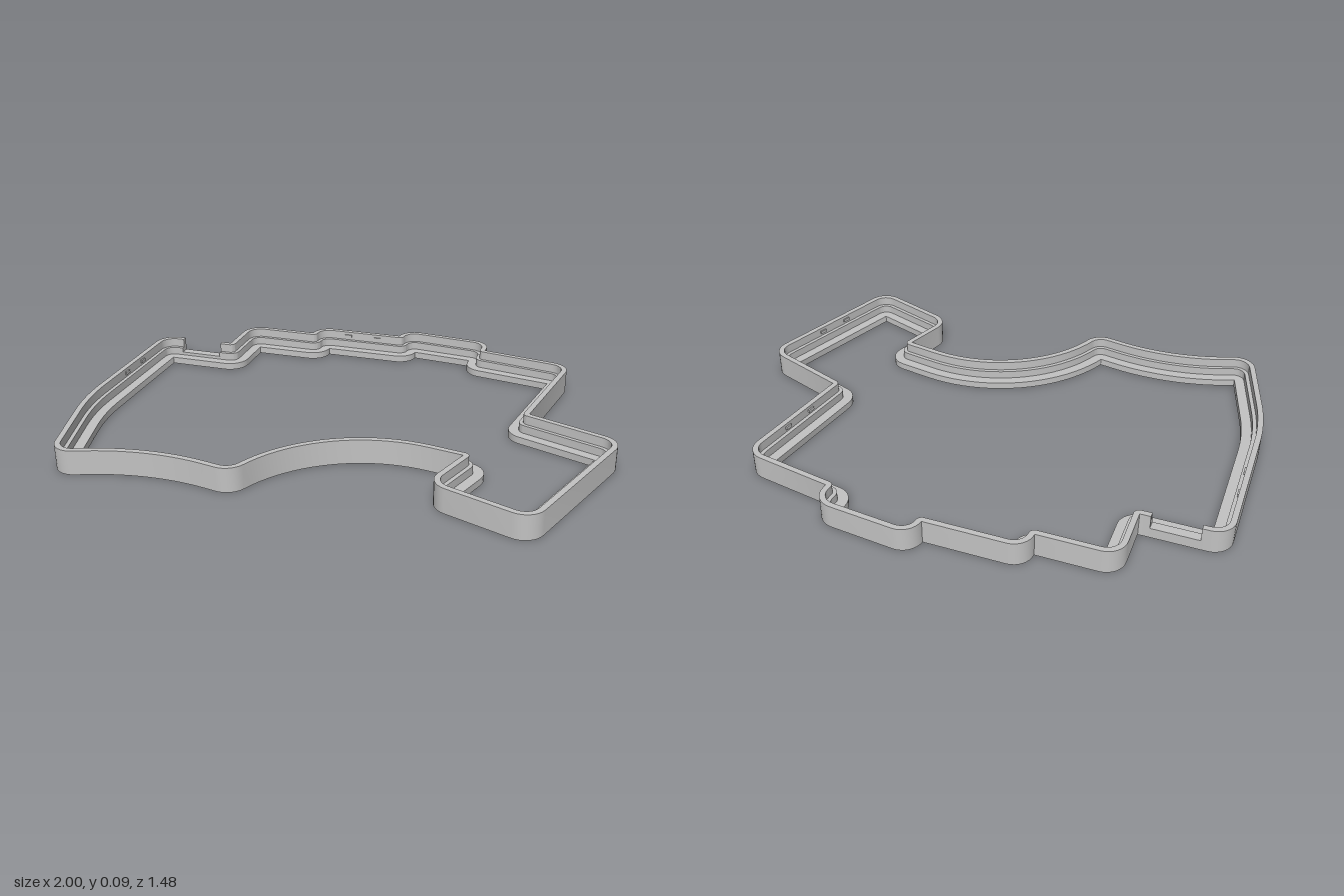
import * as THREE from 'three';
import { toCreasedNormals } from 'three/addons/utils/BufferGeometryUtils.js';

const HEIGHT = 0.093;
const NOTCH_FLOOR = 0.04;
const NOTCH = [-0.895, -0.72];

// Centre line of the frame, clockwise from above: [x, z, corner radius]
const R = 0.038, S = 0.0365;
const corners = [
  [-0.96, -0.34, R], [-0.643, -0.34, R], [-0.643, -0.564, R], [-0.343, -0.564, S],
  [-0.343, -0.638, S], [0.03, -0.638, S], [0.038, -0.709, S], [0.359, -0.676, R],
  [0.349, -0.585, R], [0.719, -0.52, R], [0.626, -0.008, R], [0.977, 0.12, R],
  [0.774, 0.679, R], [0.469, 0.568, R], [0.551, 0.338, R], [-0.059, 0.229, 0.555],
  [-0.24, 0.667, R], [-0.564, 0.605, 0.85], [-0.849, 0.715, R], [-0.96, 0.302, 0.9],
];

// Stepped cross-section: [offset outward, height]
const profile = [
  [0.0375, 0], [0.0375, HEIGHT], [0.016, HEIGHT], [0.016, 0.058],
  [0.001, 0.058], [0.001, 0.027], [-0.0375, 0.027], [-0.0375, 0],
];

const at = (i) => corners[(i + corners.length) % corners.length];

function direction(i) {
  const a = at(i), b = at(i + 1);
  return new THREE.Vector2(b[0] - a[0], b[1] - a[1]).normalize();
}

// Stations along the rounded centre line, each with its outward normal
function makeStations() {
  const stations = [];
  corners.forEach(([x, z, r], i) => {
    const d1 = direction(i - 1), d2 = direction(i);
    const turn = Math.atan2(d1.x * d2.y - d1.y * d2.x, d1.dot(d2));
    const side = Math.sign(turn);
    const back = r * Math.tan(Math.abs(turn) / 2);
    const n1 = new THREE.Vector2(d1.y, -d1.x);
    const cx = x - d1.x * back - side * n1.x * r;
    const cz = z - d1.y * back - side * n1.y * r;
    const start = Math.atan2(n1.y, n1.x);
    const steps = r > 0.5 ? 20 : 8;
    for (let k = 0; k <= steps; k++) {
      const a = start + turn * k / steps;
      const nx = Math.cos(a), nz = Math.sin(a);
      stations.push({ x: cx + side * r * nx, z: cz + side * r * nz, nx, nz, top: HEIGHT });
    }
    // Port notch in the first straight run
    if (i === 0) {
      const tops = [HEIGHT, NOTCH_FLOOR, NOTCH_FLOOR, HEIGHT];
      tops.forEach((top, k) => stations.push({ x: NOTCH[k >> 1], z, nx: 0, nz: -1, top }));
    }
  });
  return stations;
}

// Sweep the cross-section round the closed centre line
function frameGeometry() {
  const stations = makeStations();
  const positions = [];
  const point = (s, [u, y]) => [s.x + s.nx * u, Math.min(y, s.top), s.z + s.nz * u];
  stations.forEach((s, i) => {
    const t = stations[(i + 1) % stations.length];
    profile.forEach((p, j) => {
      const q = profile[(j + 1) % profile.length];
      const a = point(s, p), b = point(t, p), c = point(t, q), d = point(s, q);
      positions.push(...a, ...d, ...c, ...a, ...c, ...b);
    });
  });
  const geometry = new THREE.BufferGeometry();
  geometry.setAttribute('position', new THREE.Float32BufferAttribute(positions, 3));
  return toCreasedNormals(geometry, Math.PI / 6);
}

export function createModel() {
  const model = new THREE.Group();
  model.name = 'steppedFrame';
  const grey = new THREE.MeshStandardMaterial({ color: 0xc2c2c2 });
  grey.name = 'light grey plastic';

  const frame = new THREE.Mesh(frameGeometry(), grey);
  frame.name = 'frame';
  model.add(frame);

  // Pairs of snap nubs on the inside of the rim: [edge, position along it]
  const nub = new THREE.BoxGeometry(0.03, 0.012, 0.01);
  [[4, 0.477], [9, 0.484], [11, 0.5], [19, 0.56]].forEach(([i, t]) => {
    const a = at(i), b = at(i + 1), d = direction(i);
    for (const shift of [-0.067, 0.067]) {
      const mesh = new THREE.Mesh(nub, grey);
      mesh.name = 'snapNub';
      mesh.position.set(
        THREE.MathUtils.lerp(a[0], b[0], t) + d.x * shift + d.y * 0.015,
        0.075,
        THREE.MathUtils.lerp(a[1], b[1], t) + d.y * shift - d.x * 0.015);
      mesh.rotation.y = Math.atan2(-d.y, d.x);
      model.add(mesh);
    }
  });
  return model;
}
